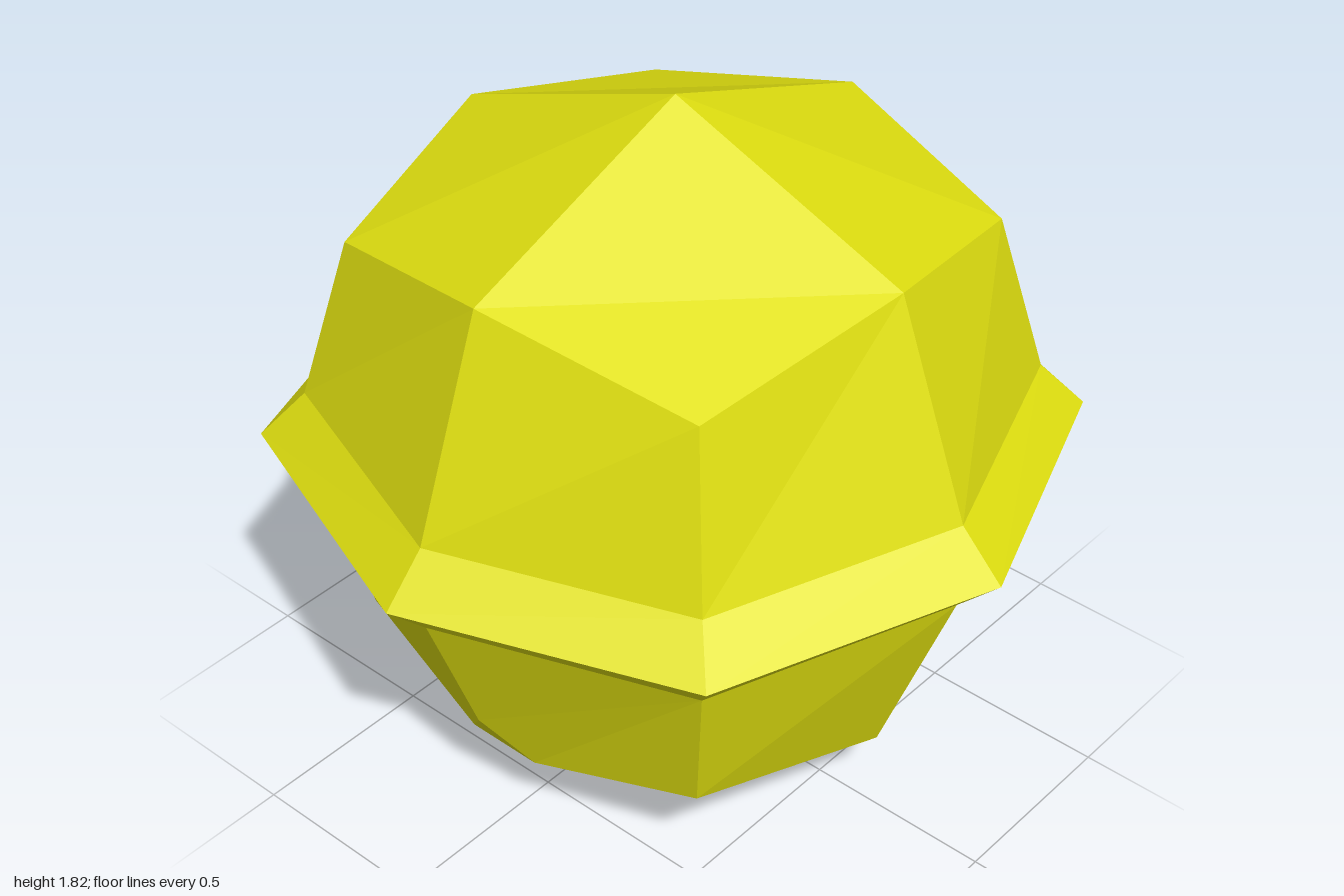
import * as THREE from 'three';

const yellow = new THREE.MeshStandardMaterial({ color: 0xe0e010, flatShading: true });
yellow.name = 'yellow';

// Levels as [height, reach on the x and z axes, diagonal height, diagonal reach]
const level = (y, r, dy, d) => ({ x: [r, y, 0], d: [d, dy, d], z: [0, y, r] });
const crown = level(1.57, 0.675, 1.452, 0.555);
const rimTop = level(1.017, 0.882, 1.017, 0.647);
const rim = level(0.897, 1, 0.897, 0.73);
const rimBottom = level(0.777, 0.882, 0.777, 0.647);
const base = level(0.223, 0.675, 0.342, 0.555);

// Bevel cut along x underneath
const keel = [0, 0, 0.105];
const keelEnd = [0.65, 0.244, 0.105];
const keelEndMid = [0.65, 0.244, 0];
const keelTip = [0.732, 0.38, 0];

// Two faces joining one level to the next inside a quarter
const band = (lo, hi) => [
  [lo.z, lo.d, hi.d, hi.z],
  [lo.d, lo.x, hi.x, hi.d],
];

// Mirrors the faces of one quarter into all four, keeping them facing outward
function mirroredPart(name, faces) {
  const positions = [];
  for (const sx of [1, -1]) {
    for (const sz of [1, -1]) {
      for (const face of faces) {
        const pts = face.map(([x, y, z]) => [x * sx, y, z * sz]);
        if (sx * sz < 0) pts.reverse();
        for (let i = 1; i < pts.length - 1; i++) {
          positions.push(...pts[0], ...pts[i], ...pts[i + 1]);
        }
      }
    }
  }
  const geometry = new THREE.BufferGeometry();
  geometry.setAttribute('position', new THREE.Float32BufferAttribute(positions, 3));
  geometry.computeVertexNormals();
  const mesh = new THREE.Mesh(geometry, yellow);
  mesh.name = name;
  return mesh;
}

export function createModel() {
  const model = new THREE.Group();
  model.name = 'facetedBall';
  model.add(
    // Domed upper half
    mirroredPart('upperShell', [
      [[0, 1.823, 0], crown.z, crown.d, crown.x],
      ...band(rimTop, crown),
    ]),
    // Sharp ridge around the middle
    mirroredPart('middleRim', [...band(rim, rimTop), ...band(rimBottom, rim)]),
    // Lower half, trimmed where the bevel crosses it
    mirroredPart('lowerShell', [
      [base.z, base.d, rimBottom.d, rimBottom.z],
      [base.d, keelEnd, keelTip, rimBottom.x, rimBottom.d],
      [keel, keelEnd, base.d, base.z],
    ]),
    // Flat strip with pointed ends underneath
    mirroredPart('bottomBevel', [
      [[0, 0, 0], keelEndMid, keelEnd, keel],
      [keelEndMid, keelTip, keelEnd],
    ]),
  );
  return model;
}
